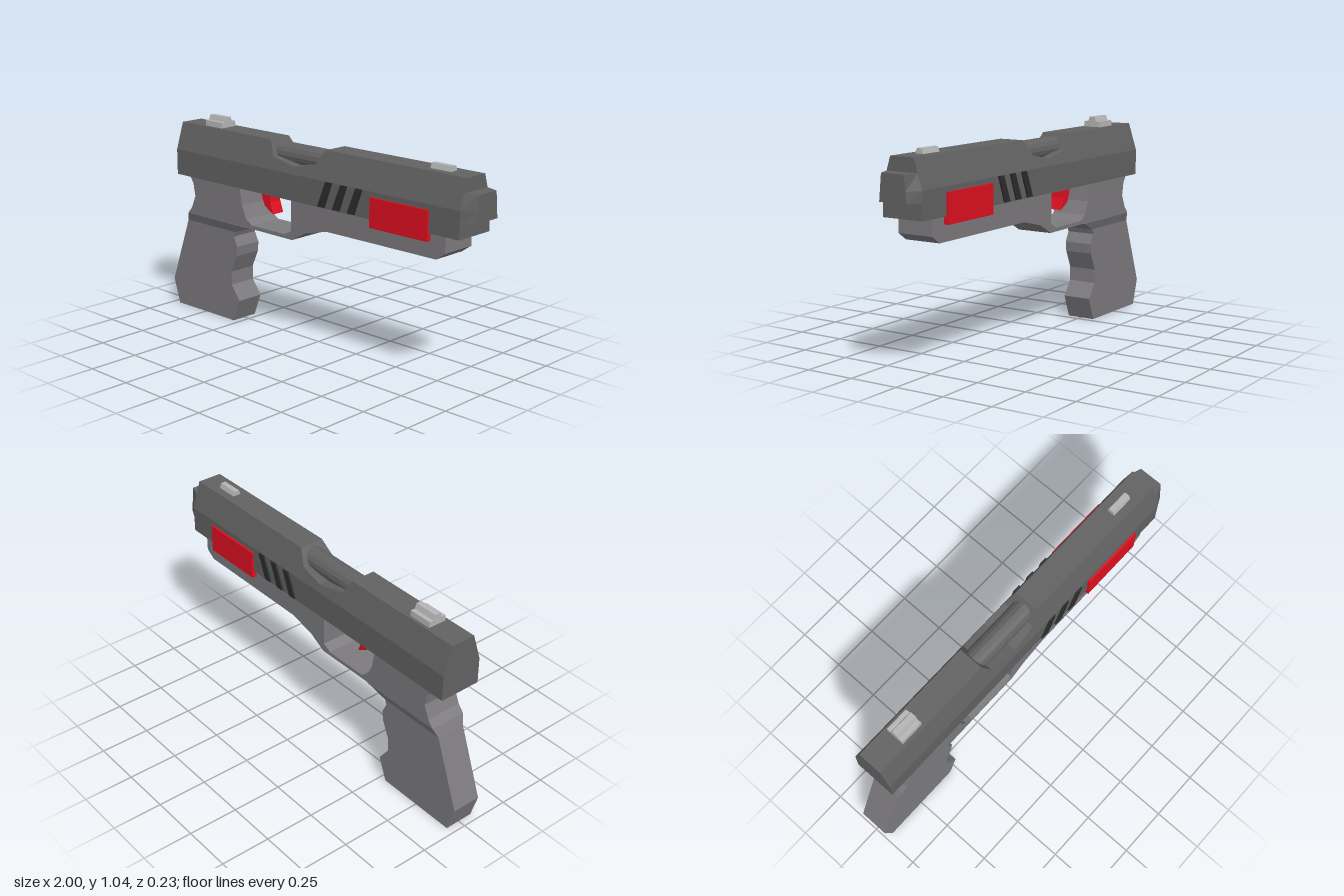
import * as THREE from 'three';

const mat = (color) => new THREE.MeshStandardMaterial({ color, flatShading: true });
const dark = mat(0x626262), grey = mat(0x7c7a7d), light = mat(0xb4b4b4), red = mat(0xe01020), black = mat(0x2c2c2c);

// Flat prism from an x/y outline, centred on z; half(y) gives its half width at each height.
function prism(points, half, hole) {
  const shape = new THREE.Shape(points.map(([x, y]) => new THREE.Vector2(x, y)));
  if (hole) shape.holes.push(new THREE.Path(hole.map(([x, y]) => new THREE.Vector2(x, y))));
  const geo = new THREE.ExtrudeGeometry(shape, { depth: 2, bevelEnabled: false });
  geo.translate(0, 0, -1);
  const p = geo.attributes.position;
  for (let i = 0; i < p.count; i++) {
    p.setZ(i, p.getZ(i) * (typeof half === 'function' ? half(p.getY(i)) : half));
  }
  geo.computeVertexNormals();
  return geo;
}

// Prism running along x from a mirrored z/y cross-section (right half given from bottom to top).
function bar(halfSection, x0, x1) {
  const left = halfSection.map(([z, y]) => [-z, y]).reverse();
  const geo = prism([...halfSection, ...left], (x1 - x0) / 2);
  return geo.rotateY(Math.PI / 2).translate((x0 + x1) / 2, 0, 0);
}

export function createModel() {
  const group = new THREE.Group();
  const add = (name, geo, material) => {
    const mesh = new THREE.Mesh(geo, material);
    mesh.name = name;
    group.add(mesh);
    return mesh;
  };

  // Slide: straight lower half, tapered upper half with the ejection notch
  const slideHalf = (y) => 0.106 - Math.max(0, y - 0.85) * 0.318;
  add('slideLower', bar([[0.106, 0.72], [0.106, 0.85]], -0.91, 0.935), dark);
  add('slideUpper', prism([
    [-0.91, 0.85], [0.935, 0.85], [0.935, 0.987], [0.11, 0.987], [0.06, 0.912],
    [-0.07, 0.885], [-0.22, 0.912], [-0.26, 0.987], [-0.91, 0.987],
  ], slideHalf), dark);

  // Barrel visible in the notch
  const barrel = new THREE.CylinderGeometry(0.056, 0.056, 0.44, 16);
  barrel.rotateZ(Math.PI / 2).translate(-0.07, 0.918, 0);
  add('barrel', barrel, dark);

  // Muzzle block narrowing towards its front
  const muzzle = bar([[0.106, 0.797], [0.106, 0.85], [slideHalf(0.922), 0.922]], 0.935, 1);
  const mp = muzzle.attributes.position;
  for (let i = 0; i < mp.count; i++) {
    if (mp.getX(i) > 0.97) mp.setZ(i, Math.sign(mp.getZ(i)) * (0.073 - (mp.getY(i) - 0.797) * 0.1));
  }
  muzzle.computeVertexNormals();
  add('muzzle', muzzle, dark);

  // Frame with trigger guard opening
  add('frame', prism([
    [-0.85, 0.52], [-0.41, 0.522], [-0.37, 0.522], [-0.09, 0.52], [0, 0.57], [0.14, 0.605],
    [0.8, 0.605], [0.85, 0.64], [0.85, 0.722], [-0.83, 0.722], [-0.805, 0.685], [-0.792, 0.62], [-0.82, 0.555],
  ], 0.092, [
    [-0.455, 0.715], [-0.44, 0.63], [-0.41, 0.565], [-0.37, 0.54],
    [-0.14, 0.54], [-0.095, 0.565], [-0.095, 0.715],
  ]), grey);

  // Sloped step from frame to grip
  add('gripShoulder', prism([
    [-0.872, 0.475], [-0.515, 0.475], [-0.41, 0.52], [-0.85, 0.52],
  ], (y) => 0.074 + (y - 0.475) * 0.4), grey);

  // Grip with finger grooves
  add('grip', prism([
    [-0.872, 0.475], [-1, 0.13], [-0.96, 0], [-0.535, 0], [-0.49, 0.115], [-0.545, 0.19],
    [-0.545, 0.26], [-0.505, 0.35], [-0.5, 0.4], [-0.525, 0.45], [-0.515, 0.475],
  ], 0.074), grey);

  add('trigger', prism([
    [-0.36, 0.72], [-0.352, 0.675], [-0.335, 0.637], [-0.277, 0.603], [-0.298, 0.66], [-0.3, 0.72],
  ], 0.035), red);

  // Sights
  add('rearSight', bar([[0.047, 0.985], [0.045, 1.015], [0.023, 1.015], [0.014, 1.039]], -0.75, -0.63), light);
  add('frontSight', bar([[0.022, 0.985], [0.013, 1.011]], 0.7, 0.815), light);

  // Side panels and slanted ribs on both sides
  for (const s of [1, -1]) {
    const side = s > 0 ? 'front' : 'back';
    const panel = new THREE.BoxGeometry(0.337, 0.142, 0.025);
    add(side + 'SidePanel', panel, red).position.set(0.598, 0.754, s * 0.104);
    for (let i = 0; i < 3; i++) {
      const rib = prism([[0.1, 0.725], [0.143, 0.725], [0.19, 0.85], [0.152, 0.85]], 0.01);
      add(side + 'Rib' + (i + 1), rib, black).position.set(i * 0.094, 0, s * 0.104);
    }
  }
  return group;
}
